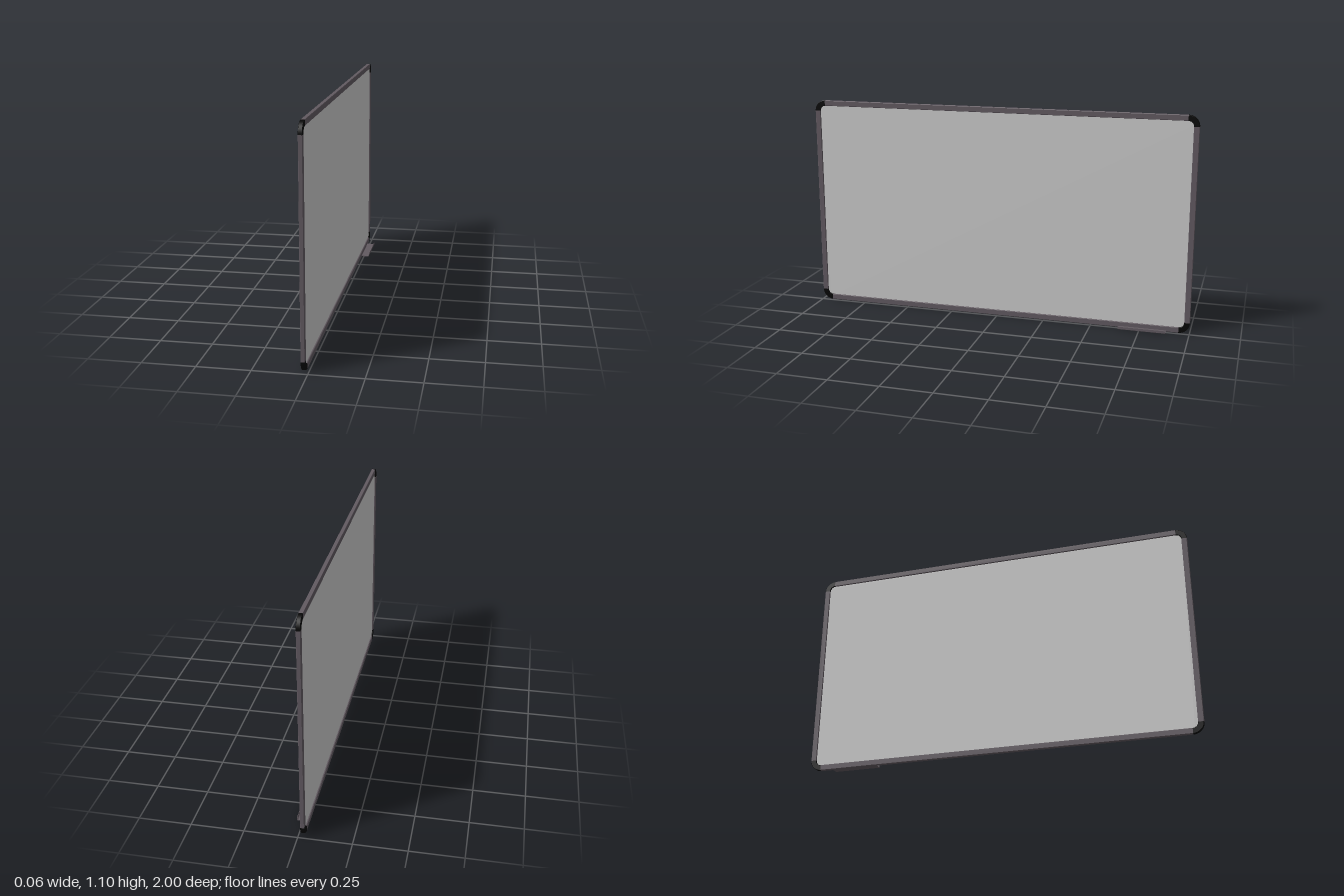
import * as THREE from 'three';
import { toCreasedNormals } from 'three/addons/utils/BufferGeometryUtils.js';

const W = 2, H = 1.1, R = 0.055; // overall size and corner length
const mat = (color) => new THREE.MeshStandardMaterial({ color, side: THREE.DoubleSide });

// Frame rail section: [distance from outer edge, depth], square with small chamfers
const section = [
  [-0.028, -0.007], [-0.026, -0.0095], [-0.002, -0.0095], [0, -0.008],
  [0, 0.008], [-0.002, 0.0095], [-0.026, 0.0095], [-0.028, 0.007],
].map(([r, d]) => new THREE.Vector2(r, d));

function railGeometry(length) {
  const geo = new THREE.ExtrudeGeometry(new THREE.Shape(section), { depth: length, bevelEnabled: false });
  return geo.translate(0, 0, -length / 2).rotateX(-Math.PI / 2);
}

function cornerGeometry() {
  const ring = [...section, section[0]].map((p) => new THREE.Vector2(R + p.x, p.y));
  const geo = new THREE.LatheGeometry(ring, 12, Math.PI / 2, Math.PI / 2).rotateX(Math.PI / 2);
  return toCreasedNormals(geo, 0.5);
}

function roundedRect(w, h, r) {
  const s = new THREE.Shape();
  s.absarc(w / 2 - r, h / 2 - r, r, 0, Math.PI / 2);
  s.absarc(-w / 2 + r, h / 2 - r, r, Math.PI / 2, Math.PI);
  s.absarc(-w / 2 + r, -h / 2 + r, r, Math.PI, Math.PI * 1.5);
  s.absarc(w / 2 - r, -h / 2 + r, r, Math.PI * 1.5, Math.PI * 2);
  return s;
}

export function createModel() {
  const model = new THREE.Group();
  model.name = 'whiteboard';
  const add = (geo, material, name, parent = model) => {
    const mesh = new THREE.Mesh(geo, material);
    mesh.name = name;
    parent.add(mesh);
    return mesh;
  };
  const railMat = mat(0x625a61), cornerMat = mat(0x060606);

  // Built upright in the XY plane, then turned so the writing face looks along +x
  const board = new THREE.Group();
  board.name = 'board';
  board.position.set(-0.0215, H / 2, 0);
  board.rotation.y = Math.PI / 2;
  model.add(board);

  // Writing panel, its edge tucked inside the rails
  const panel = new THREE.ExtrudeGeometry(roundedRect(W - 0.03, H - 0.03, 0.04), { depth: 0.006, bevelEnabled: false });
  add(panel.translate(0, 0, -0.003), mat(0xcccccc), 'panel', board);

  // Four rails and four corner caps
  ['leftRail', 'topRail', 'rightRail', 'bottomRail'].forEach((name, i) => {
    const a = i * Math.PI / 2, upright = i % 2 === 0;
    const rail = add(railGeometry((upright ? H : W) - 2 * R), railMat, name, board);
    rail.rotation.z = a;
    rail.position.set(Math.cos(a) * W / 2, Math.sin(a) * H / 2, 0);

    const corner = add(cornerGeometry(), cornerMat, 'cornerCap' + (i + 1), board);
    corner.rotation.z = a;
    const sx = i === 0 || i === 3 ? 1 : -1, sy = i < 2 ? 1 : -1;
    corner.position.set(sx * (W / 2 - R), sy * (H / 2 - R), 0);
  });

  // Pen tray: thin shelf with an upturned lip, filleted inside
  const tray = new THREE.Shape([
    [-0.014, 0.003], [0.028, 0.003], [0.03, 0.005], [0.03, 0.017],
    [0.028, 0.017], [0.0275, 0.011], [0.0255, 0.008], [0.022, 0.0065], [-0.014, 0.0065],
  ].map(([x, y]) => new THREE.Vector2(x, y)));
  const trayGeo = new THREE.ExtrudeGeometry(tray, { depth: 0.24, bevelEnabled: false });
  add(trayGeo.translate(0, 0, -0.884), railMat, 'penTray');

  return model;
}
